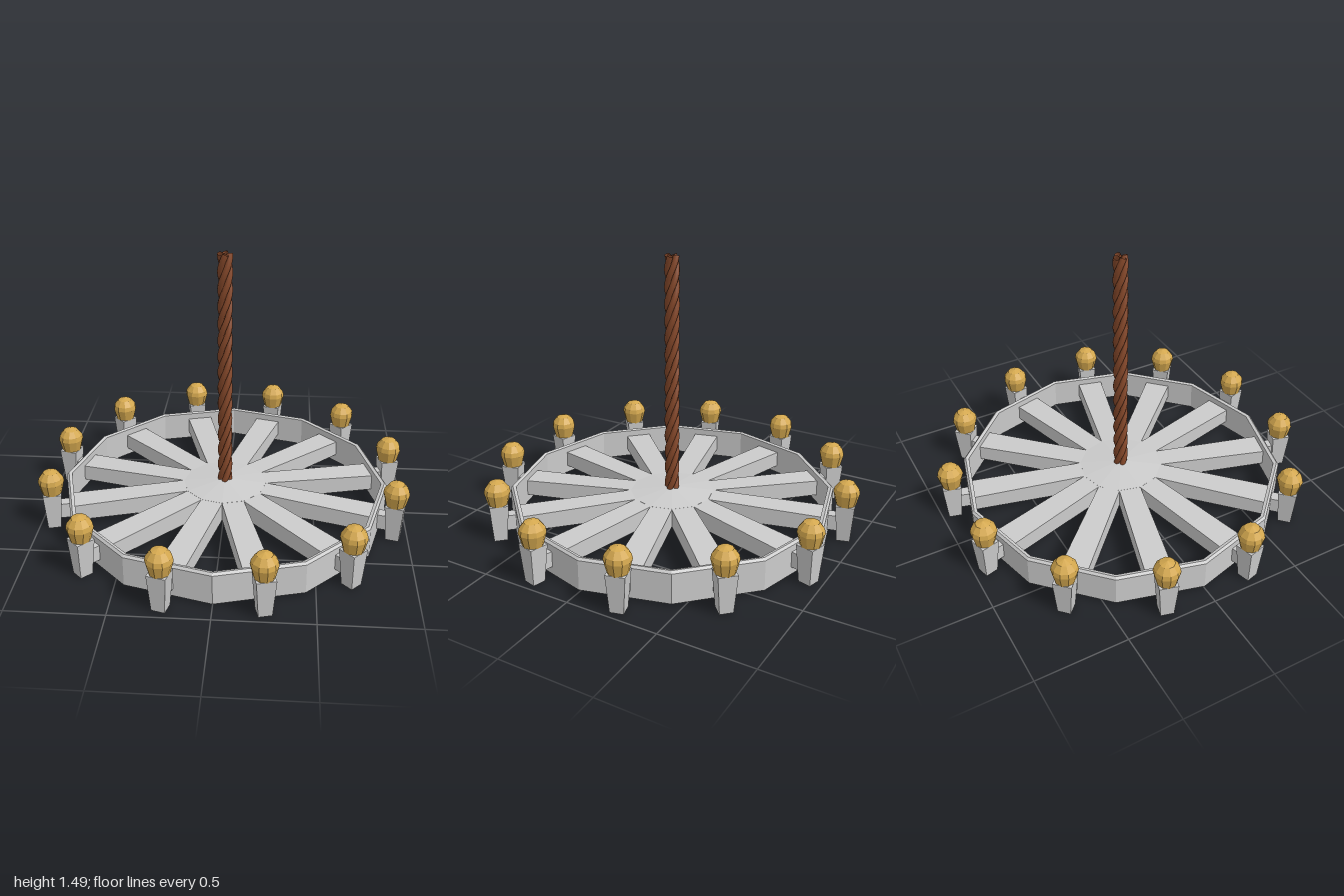
import * as THREE from 'three';

const COUNT = 12;
const grey = new THREE.MeshStandardMaterial({ color: 0xcccccc, flatShading: true });
const gold = new THREE.MeshStandardMaterial({ color: 0xd4a84f, flatShading: true });
const brown = new THREE.MeshStandardMaterial({ color: 0x85482a, side: THREE.DoubleSide });

function part(name, geometry, material, parent) {
  const mesh = new THREE.Mesh(geometry, material);
  mesh.name = name;
  parent.add(mesh);
  return mesh;
}

function lathe(points, sides) {
  return new THREE.LatheGeometry(points.map(([r, y]) => new THREE.Vector2(r, y)), sides);
}

// Radial bar along +z, wider towards the rim, its top falling slightly outwards
function spokeGeometry() {
  const r0 = 0.2, r1 = 0.85;
  const geo = new THREE.BoxGeometry(1, 1, 1);
  const p = geo.attributes.position;
  for (let i = 0; i < p.count; i++) {
    const outer = p.getZ(i) > 0;
    const top = p.getY(i) > 0;
    p.setXYZ(i,
      p.getX(i) * (outer ? 0.145 : 0.12),
      top ? (outer ? 0.148 : 0.165) : 0.06,
      outer ? r1 : r0);
  }
  return geo;
}

// One rope strand winding around the vertical axis
class Strand extends THREE.Curve {
  constructor(phase) {
    super();
    this.phase = phase;
  }
  getPoint(t, target = new THREE.Vector3()) {
    const y = 0.15 + t * 1.34;
    const a = this.phase - (y / 0.37) * Math.PI * 2;
    return target.set(0.024 * Math.cos(a), y, 0.024 * Math.sin(a));
  }
}

export function createModel() {
  const model = new THREE.Group();
  model.name = 'wheelChandelier';

  // Twelve-sided rim with a chamfered top edge
  part('rim', lathe([
    [0.875, 0.015], [0.9, 0.015], [0.9, 0.178], [0.888, 0.19], [0.87, 0.185], [0.875, 0.015],
  ], COUNT), grey, model);

  // Hub with a shallow conical top
  part('hub', lathe([[0, 0.06], [0.23, 0.06], [0.23, 0.165], [0, 0.19]], COUNT), grey, model);

  // Spokes and candle holders, midway between the rim corners
  const spoke = spokeGeometry();
  const arm = new THREE.BoxGeometry(0.06, 0.085, 0.1);
  const holder = new THREE.CylinderGeometry(0.1 * Math.SQRT1_2, 0.07 * Math.SQRT1_2, 0.206, 4);
  holder.rotateY(Math.PI / 4);
  const bulb = lathe([[0, 0.205], [0.052, 0.205], [0.07, 0.275], [0.065, 0.3], [0.04, 0.333], [0, 0.346]], 10);
  for (let i = 0; i < COUNT; i++) {
    const sector = new THREE.Group();
    sector.name = 'sector' + (i + 1);
    sector.rotation.y = ((i + 0.5) / COUNT) * Math.PI * 2;
    part('spoke', spoke, grey, sector);
    part('arm', arm, grey, sector).position.set(0, 0.1, 0.9);
    part('holder', holder, grey, sector).position.set(0, 0.105, 0.957);
    part('bulb', bulb, gold, sector).position.z = 0.957;
    model.add(sector);
  }

  // Hanging rope of four twisted strands
  const rope = new THREE.Group();
  rope.name = 'rope';
  for (let i = 0; i < 4; i++) {
    part('strand', new THREE.TubeGeometry(new Strand(i * Math.PI / 2), 100, 0.0165, 8), brown, rope);
  }
  model.add(rope);

  return model;
}
